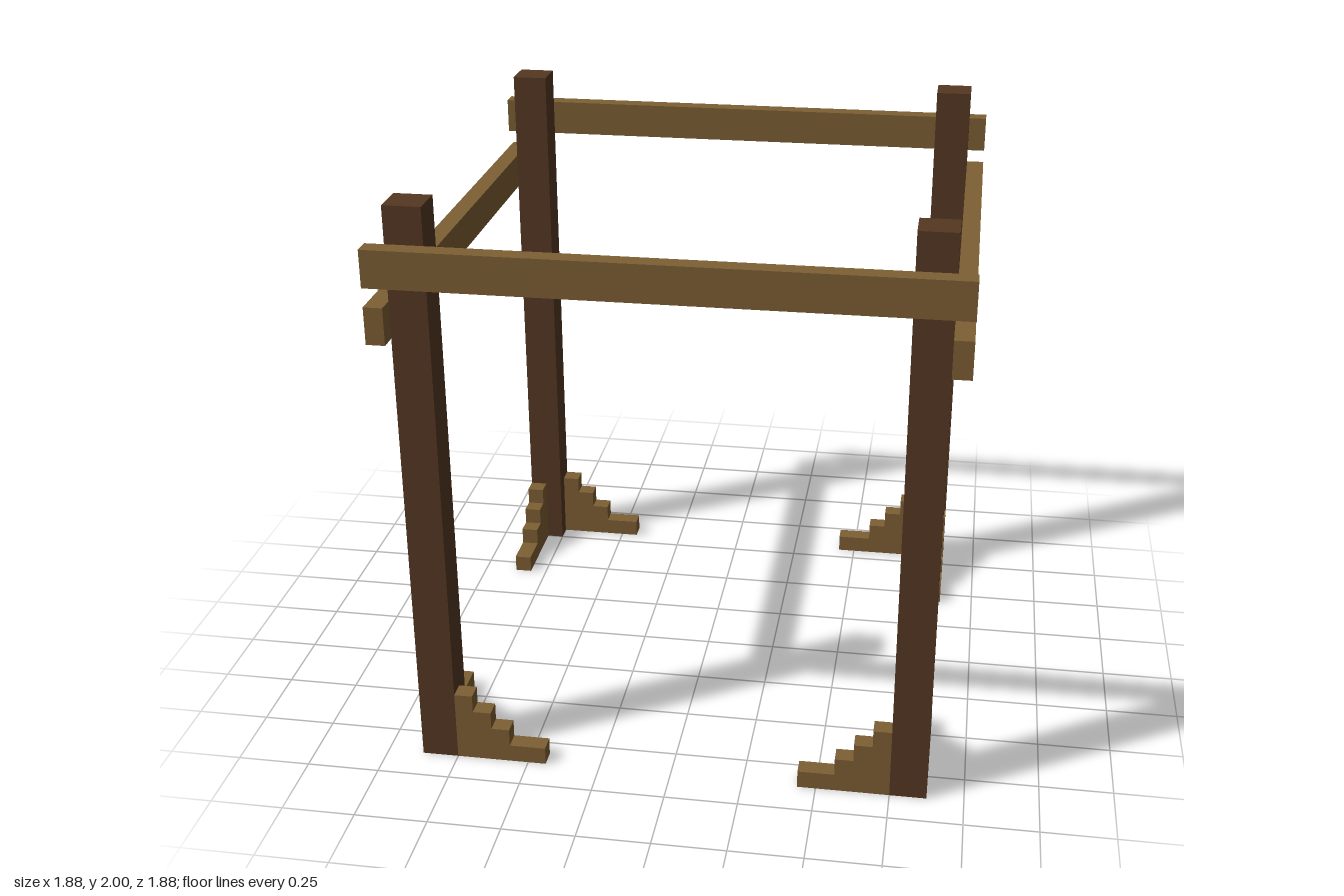
import * as THREE from 'three';

const U = 1 / 16; // base module of the timber frame

const darkWood = new THREE.MeshStandardMaterial({ color: 0x553822 });
darkWood.name = 'darkWood';
const lightWood = new THREE.MeshStandardMaterial({ color: 0x7d5f34 });
lightWood.name = 'lightWood';

function box(name, material, size, position) {
  const mesh = new THREE.Mesh(new THREE.BoxGeometry(...size.map(v => v * U)), material);
  mesh.name = name;
  mesh.position.set(...position.map(v => v * U));
  return mesh;
}

// Stepped foot brace running inward from the post on the given side (+1 or -1)
function footBrace(name, side) {
  const steps = [[12, 0], [12, 4], [11, 4], [11, 3], [10, 3], [10, 2], [9, 2], [9, 1], [7, 1], [7, 0]];
  const shape = new THREE.Shape(steps.map(([x, y]) => new THREE.Vector2(side * x * U, y * U)));
  const geometry = new THREE.ExtrudeGeometry(shape, { depth: U, bevelEnabled: false });
  geometry.translate(0, 0, 13 * U);
  const mesh = new THREE.Mesh(geometry, lightWood);
  mesh.name = name;
  return mesh;
}

export function createModel() {
  const model = new THREE.Group();
  model.name = 'timberFrame';

  // Each side carries one corner post, one rail and two foot braces
  ['front', 'left', 'back', 'right'].forEach((name, i) => {
    const side = new THREE.Group();
    side.name = name + 'Side';
    side.rotation.y = i * Math.PI / 2;

    // Rails on neighbouring sides sit at different heights
    const railY = i % 2 === 0 ? 29 : 26;
    side.add(
      box('post', darkWood, [2, 32, 2], [13, 16, 13]),
      box('rail', lightWood, [30, 2, 1], [0, railY, 14.5]),
      footBrace('footBraceLeft', 1),
      footBrace('footBraceRight', -1)
    );
    model.add(side);
  });

  return model;
}
